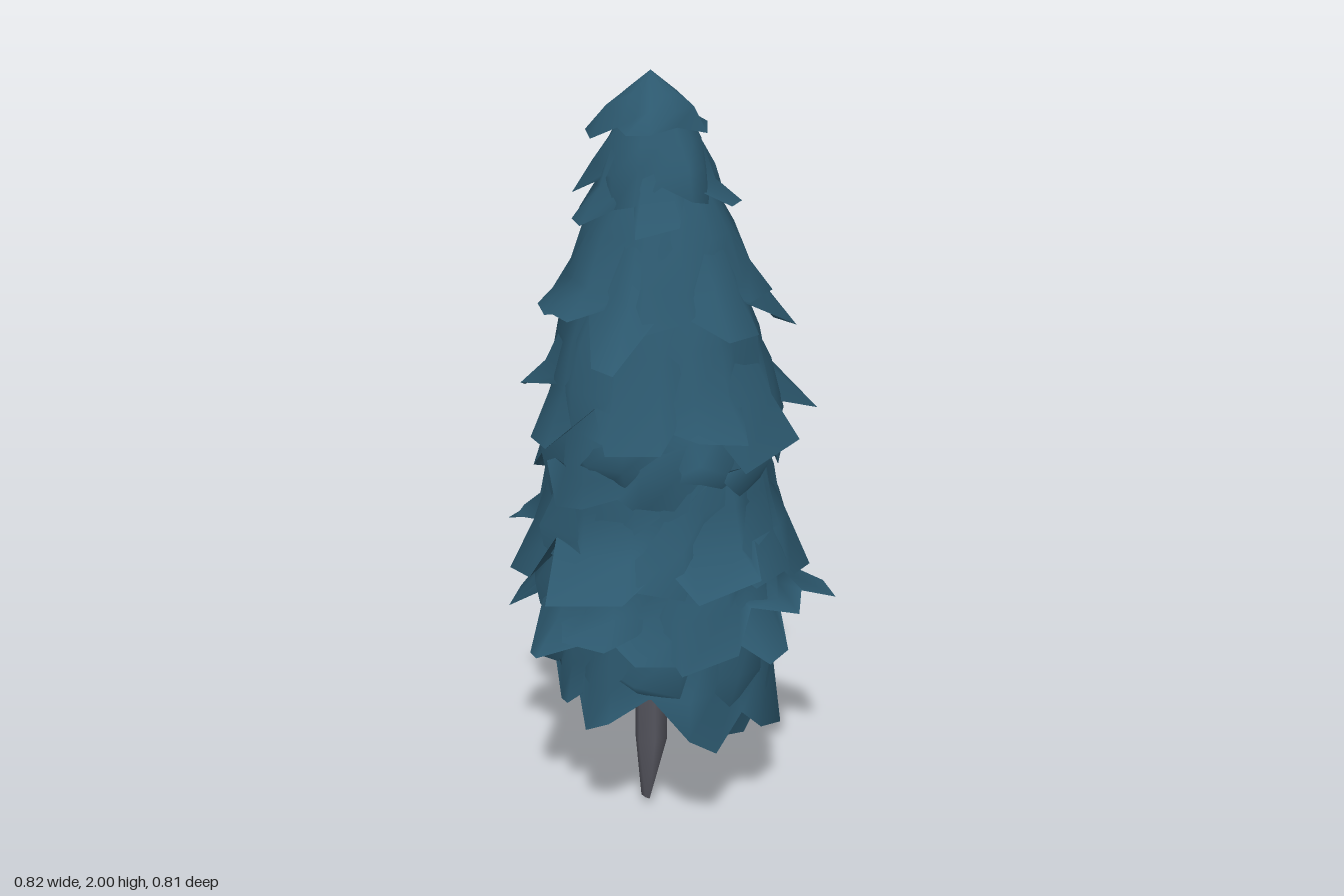
import * as THREE from 'three';

// Small seeded generator so that the ragged edges are repeatable
function seeded(seed) {
  let s = seed;
  return () => (s = (s * 16807) % 2147483647) / 2147483647;
}

// Joins rows of points [x, y, z] into a closed, outward-facing loft
function loft(rows) {
  const n = rows[0].length;
  const index = [];
  for (let r = 0; r < rows.length - 1; r++) {
    for (let i = 0; i < n; i++) {
      const a = r * n + i, b = r * n + (i + 1) % n;
      index.push(a, a + n, b, b, a + n, b + n);
    }
  }
  const geometry = new THREE.BufferGeometry();
  geometry.setAttribute('position', new THREE.Float32BufferAttribute(rows.flat(2), 3));
  geometry.setIndex(index);
  geometry.computeVertexNormals();
  return geometry;
}

// One ragged skirt of drooping boughs: each bough has a notch and two tips
function skirt(t, random) {
  const jitter = (amount) => (random() - 0.5) * 2 * amount;
  const columns = t.boughs * 3;
  const rows = [[], [], [], []];
  const height = t.top - t.rim;
  let reach = 1, lift = 0;
  for (let i = 0; i < columns; i++) {
    const notch = i % 3 === 0;
    if (notch) {
      reach = 0.96 + jitter(0.12);
      lift = jitter(t.ragged);
    }
    const angle = ((i + jitter(0.35)) / columns) * Math.PI * 2 + t.turn;
    const rimRadius = notch ? t.body * (1 + jitter(0.07)) : t.tip * (reach + jitter(0.08));
    const rimY = notch ? t.rim + t.notch + jitter(0.03) : t.rim + lift + jitter(t.ragged * 0.6);
    const points = [
      [t.inner, t.top],
      [(t.inner * 0.35 + t.body * 0.65) * (1 + jitter(0.06)), t.top - height * 0.36],
      [t.body * (notch ? 0.94 : 1.06 + jitter(0.07)), t.top - height * 0.68 + jitter(0.02)],
      [rimRadius, rimY - (t.lean || 0) * Math.sin(angle)],
    ];
    points.forEach(([r, y], k) => rows[k].push([
      t.x + Math.sin(angle) * r, y, Math.cos(angle) * r,
    ]));
  }
  // Rows run downwards and columns anticlockwise seen from above
  return loft(rows);
}

export function createModel() {
  const needles = new THREE.MeshStandardMaterial({ color: 0x2c586e, side: THREE.DoubleSide });
  needles.name = 'blue green needles';
  const bark = new THREE.MeshStandardMaterial({ color: 0x55555e, side: THREE.DoubleSide });
  bark.name = 'grey bark';

  const tree = new THREE.Group();
  tree.name = 'conifer';
  const add = (name, geometry, material) => {
    const mesh = new THREE.Mesh(geometry, material);
    mesh.name = name;
    tree.add(mesh);
  };

  // Trunk: crooked, narrowing to a slanted blade at the foot
  const sections = [
    { y: 0.7, x: -0.02, z: 0, w: 0.038, d: 0.033 },
    { y: 0.4, x: -0.025, z: 0.003, w: 0.042, d: 0.035 },
    { y: 0.2, x: -0.024, z: 0, w: 0.045, d: 0.038 },
    { y: 0.015, x: -0.04, z: -0.003, w: 0.007, d: 0.042, slant: 0.015 },
  ];
  const trunkRows = sections.map(({ y, x, z, w, d, slant = 0 }) =>
    Array.from({ length: 6 }, (_, i) => {
      const a = (i / 6) * Math.PI * 2;
      return [x + Math.sin(a) * w, y + Math.cos(a) * slant, z + Math.cos(a) * d];
    }));
  trunkRows.push(trunkRows[3].map(() => [-0.04, 0.015, -0.003]));
  add('trunk', loft(trunkRows), bark);

  // Tiers of boughs, from the crown down
  const tiers = [
    { top: 2.0, rim: 1.86, inner: 0, body: 0.1, tip: 0.175, boughs: 4, ragged: 0.02, notch: 0.03, x: -0.02 },
    { top: 1.92, rim: 1.66, inner: 0.07, body: 0.135, tip: 0.22, boughs: 5, ragged: 0.03, notch: 0.06, x: -0.01 },
    { top: 1.74, rim: 1.38, inner: 0.12, body: 0.215, tip: 0.35, boughs: 6, ragged: 0.03, notch: 0.08, x: 0 },
    { top: 1.48, rim: 1.13, inner: 0.2, body: 0.265, tip: 0.37, boughs: 6, ragged: 0.04, notch: 0.08, x: 0 },
    { top: 1.24, rim: 0.97, inner: 0.24, body: 0.285, tip: 0.325, boughs: 7, ragged: 0.05, notch: 0.07, x: 0 },
    { top: 1.08, rim: 0.75, inner: 0.26, body: 0.295, tip: 0.43, boughs: 7, ragged: 0.04, notch: 0.1, x: 0 },
    { top: 0.87, rim: 0.58, inner: 0.27, body: 0.3, tip: 0.415, boughs: 7, ragged: 0.04, notch: 0.09, x: 0 },
    { top: 0.72, rim: 0.35, inner: 0.27, body: 0.285, tip: 0.305, boughs: 7, ragged: 0.06, notch: 0.09, x: 0.005, lean: 0.06 },
  ];
  const random = seeded(9241);
  tiers.forEach((t, i) => {
    t.turn = i * 1.3 + 0.4;
    add('boughTier' + (i + 1), skirt(t, random), needles);
    if (i === 0) return;
    // A shorter ply of boughs fills the gaps between the long ones
    const ply = {
      ...t,
      turn: t.turn + Math.PI / t.boughs,
      tip: t.body * 0.4 + t.tip * 0.6,
      rim: t.rim + 0.04,
      notch: t.notch * 0.7,
    };
    add('boughPly' + (i + 1), skirt(ply, random), needles);
  });

  // Underside closing the foliage around the trunk, deep inside the lowest tier
  const under = new THREE.ConeGeometry(0.27, 0.06, 16, 1, true);
  under.translate(0, 0.52, 0);
  add('foliageUnderside', under, needles);

  // Thin stray twig hanging below the boughs
  const twig = new THREE.ConeGeometry(0.007, 0.27, 3);
  twig.rotateX(Math.PI);
  twig.translate(0.15, 0.305, -0.17);
  add('strayTwig', twig, needles);

  return tree;
}
